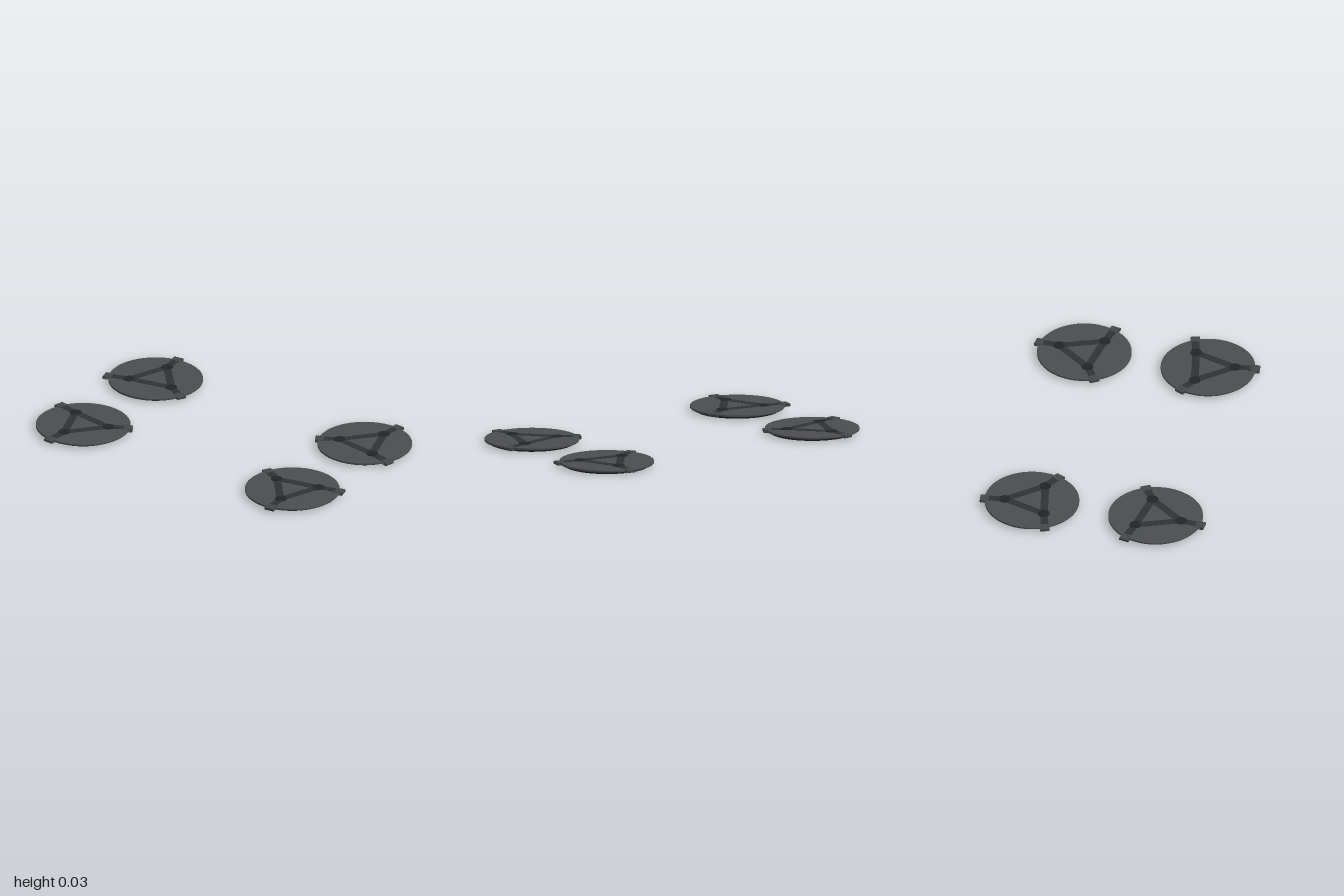
import * as THREE from 'three';

const mat = (color) => new THREE.MeshStandardMaterial({ color });
const PAD = mat(0x4c4d4f), BASE = mat(0x1b1c1e), STRAP = mat(0x303234), JOINT = mat(0x222426), CLIP = mat(0x444648);

// joint centre and outer end of its clip, as [x, z] from the pad centre
const ARMS = [
  { joint: [0.027, -0.152], end: [0.042, -0.293] },
  { joint: [-0.142, 0.048], end: [-0.263, 0.116] },
  { joint: [0.118, 0.094], end: [0.267, 0.131] },
];

function add(parent, name, geometry, material) {
  const mesh = new THREE.Mesh(geometry, material);
  mesh.name = name;
  parent.add(mesh);
  return mesh;
}

// flat webbing lying on the pad between two points
function strap(parent, name, a, b) {
  const dx = b[0] - a[0], dz = b[1] - a[1];
  const m = add(parent, name, new THREE.BoxGeometry(Math.hypot(dx, dz), 0.003, 0.044), STRAP);
  m.position.set((a[0] + b[0]) / 2, 0.0263, (a[1] + b[1]) / 2);
  m.rotation.y = -Math.atan2(dz, dx);
}

// C-shaped hook gripping the rim; local +x points outwards, origin at its outer end
function clipGeometry() {
  const outline = [
    [-0.05, 0.0265], [-0.05, 0.029], [-0.004, 0.029], [0, 0.026], [0, 0.014],
    [-0.004, 0.011], [-0.035, 0.011], [-0.035, 0.0135], [-0.014, 0.0135], [-0.014, 0.0265],
  ];
  const shape = new THREE.Shape(outline.map(([x, y]) => new THREE.Vector2(x, y)));
  return new THREE.ExtrudeGeometry(shape, { depth: 0.055, bevelEnabled: false }).translate(0, 0, -0.0275);
}

// a closed round plate with slightly broken edges
function plate(r, y0, y1, c) {
  const profile = [[0, y0], [r - c, y0], [r - c, y0], [r, y0 + c], [r, y0 + c], [r, y1 - c], [r, y1 - c], [r - c, y1], [r - c, y1], [0, y1]];
  return new THREE.LatheGeometry(profile.map(([x, y]) => new THREE.Vector2(x, y)), 72);
}

function footPad(name, sx, sz) {
  const pad = new THREE.Group();
  pad.name = name;
  const flip = ([x, z]) => [x * sx, z * sz];

  add(pad, 'sole', plate(0.243, 0, 0.014, 0.001), BASE);
  add(pad, 'disc', plate(0.27, 0.0135, 0.026, 0.002), PAD);

  ARMS.forEach((arm, i) => {
    const joint = flip(arm.joint), end = flip(arm.end);
    const next = flip(ARMS[(i + 1) % ARMS.length].joint);
    const angle = Math.atan2(end[1] - joint[1], end[0] - joint[0]);

    strap(pad, 'triangleStrap', joint, next);
    strap(pad, 'rimStrap', joint, [end[0] - 0.012 * Math.cos(angle), end[1] - 0.012 * Math.sin(angle)]);

    const button = add(pad, 'strapJoint', new THREE.CylinderGeometry(0.033, 0.034, 0.005, 32), JOINT);
    button.position.set(joint[0], 0.0272, joint[1]);

    const clip = add(pad, 'rimClip', clipGeometry(), CLIP);
    clip.position.set(end[0], 0, end[1]);
    clip.rotation.y = -angle;
  });

  pad.position.set(0.727 * sx, 0, 0.36 * -sz);
  return pad;
}

export function createModel() {
  const model = new THREE.Group();
  model.name = 'footPads';
  // four mirrored pads; sz = 1 is the back pair
  for (const sx of [1, -1]) {
    for (const sz of [1, -1]) {
      model.add(footPad((sz > 0 ? 'back' : 'front') + (sx > 0 ? 'Left' : 'Right') + 'Pad', sx, sz));
    }
  }
  return model;
}
